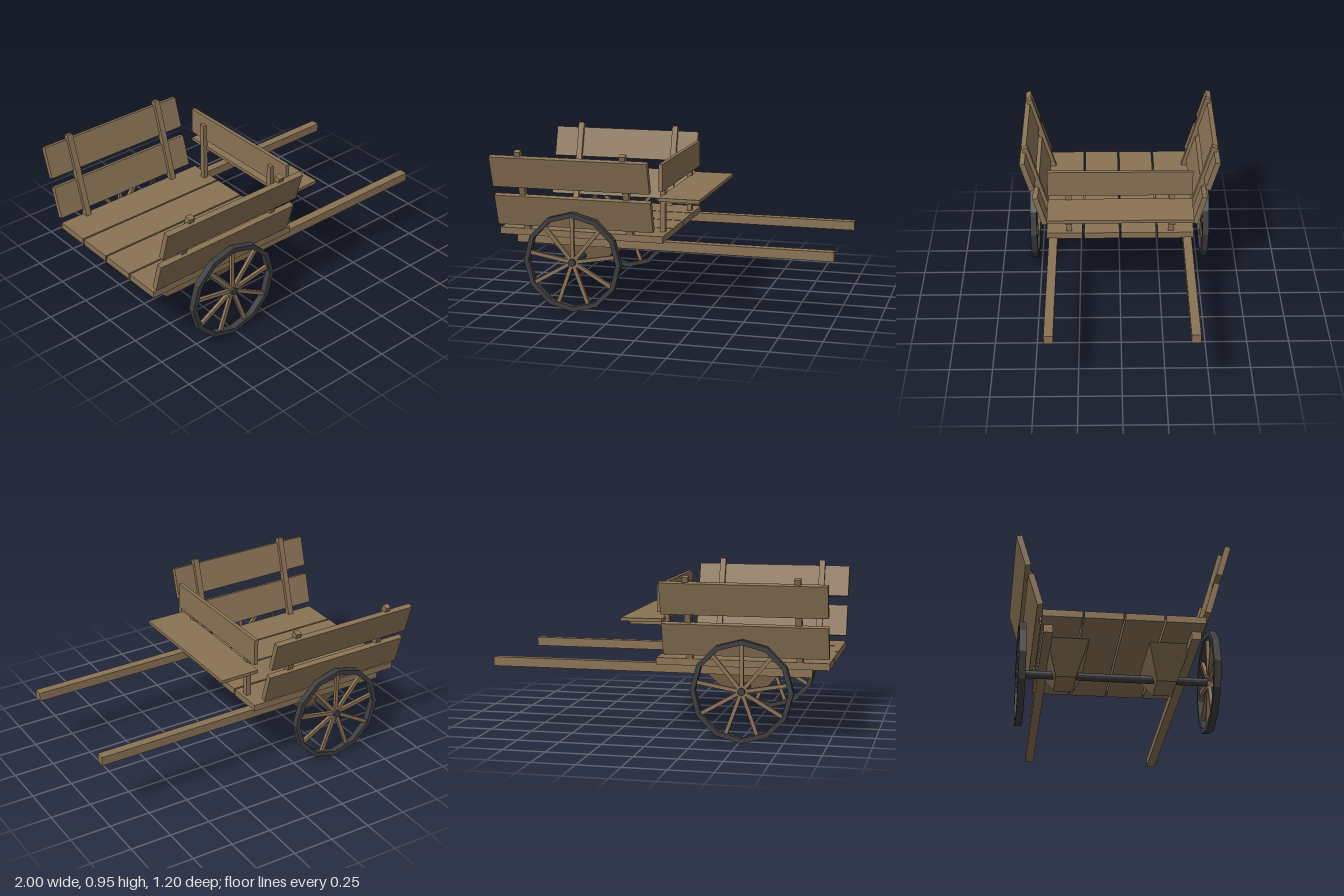
import * as THREE from 'three';

const wood = new THREE.MeshStandardMaterial({ color: 0x8b7355, flatShading: true });
const iron = new THREE.MeshStandardMaterial({ color: 0x3d3d40, flatShading: true });

function add(parent, name, geometry, material = wood) {
  const mesh = new THREE.Mesh(geometry, material);
  mesh.name = name;
  parent.add(mesh);
  return mesh;
}

// Box given by its minimum and maximum on each axis
function box(parent, name, [x0, x1], [y0, y1], [z0, z1]) {
  const mesh = add(parent, name, new THREE.BoxGeometry(x1 - x0, y1 - y0, z1 - z0));
  mesh.position.set((x0 + x1) / 2, (y0 + y1) / 2, (z0 + z1) / 2);
  return mesh;
}

function polygon(radius, sides) {
  return Array.from({ length: sides }, (_, i) => {
    const a = Math.PI / 2 + (i / sides) * Math.PI * 2;
    return new THREE.Vector2(Math.cos(a) * radius, Math.sin(a) * radius);
  });
}

// Twelve-sided rim with nine spokes, centred on its hub
function createWheel() {
  const wheel = new THREE.Group();
  wheel.name = 'wheel';
  const ring = new THREE.Shape(polygon(0.297, 12));
  ring.holes.push(new THREE.Path(polygon(0.268, 12)));
  const rim = new THREE.ExtrudeGeometry(ring, { depth: 0.04, bevelEnabled: false });
  add(wheel, 'rim', rim.translate(0, 0, -0.02), iron);
  for (let i = 0; i < 9; i++) {
    const spoke = new THREE.BoxGeometry(0.022, 0.26, 0.02).translate(0, 0.14, 0);
    add(wheel, 'spoke', spoke).rotation.z = (i / 9) * Math.PI * 2;
  }
  return wheel;
}

// Leaning side wall: two boards on the outside of two posts; local y runs up the slope
function createWall() {
  const wall = new THREE.Group();
  wall.name = 'sideWall';
  for (const x of [-0.83, -0.195]) {
    box(wall, 'wallPost', [x - 0.018, x + 0.018], [-0.02, 0.507], [-0.018, 0.018]);
  }
  box(wall, 'lowerBoard', [-1, -0.045], [0.037, 0.229], [0.003, 0.036]);
  box(wall, 'upperBoard', [-1, -0.045], [0.287, 0.478], [0.003, 0.036]);
  return wall;
}

// Axle block: a box whose underside is drawn in on all four sides
function createBlock() {
  const geometry = new THREE.BoxGeometry(0.515, 0.163, 0.236);
  const p = geometry.attributes.position;
  for (let i = 0; i < p.count; i++) {
    if (p.getY(i) < 0) p.setXYZ(i, p.getX(i) * 0.39, p.getY(i), p.getZ(i) * 0.48);
  }
  return geometry;
}

export function createModel() {
  const cart = new THREE.Group();
  cart.name = 'handCart';

  for (const s of [1, -1]) {
    // Floor and shafts
    const across = (a, b) => (s > 0 ? [a, b] : [-b, -a]);
    box(cart, 'innerFloorPlank', [-1, 0.005], [0.42, 0.46], across(0.005, 0.219));
    box(cart, 'outerFloorPlank', [-1, 0.005], [0.42, 0.46], across(0.229, 0.448));
    box(cart, 'shaft', [-0.9, 1], [0.373, 0.427], across(0.382, 0.435));

    // Running gear
    const wheel = createWheel();
    wheel.position.set(-0.515, 0.298, s * 0.54);
    cart.add(wheel);
    add(cart, 'axleBlock', createBlock()).position.set(-0.493, 0.3385, s * 0.287);

    // Side walls, the second turned by mirrored lean and depth
    const wall = createWall();
    if (s < 0) wall.children.forEach((part) => { part.position.z *= -1; });
    wall.position.set(0, 0.46, s * 0.43);
    wall.rotation.x = s * 0.287;
    cart.add(wall);

    // Seat supports
    box(cart, 'seatPost', [-0.045, -0.015], [0.46, 0.83], across(0.293, 0.327));
    box(cart, 'seatArm', [-0.02, 0.19], [0.634, 0.666], across(0.293, 0.327));
  }

  // Axle
  const axle = add(cart, 'axle', new THREE.CylinderGeometry(0.023, 0.023, 1.13, 12), iron);
  axle.rotation.x = Math.PI / 2;
  axle.position.set(-0.515, 0.298, 0);

  // Seat
  box(cart, 'seat', [-0.025, 0.22], [0.664, 0.684], [-0.434, 0.434]);
  box(cart, 'backrest', [-0.022, 0.002], [0.723, 0.883], [-0.434, 0.434]);

  return cart;
}
